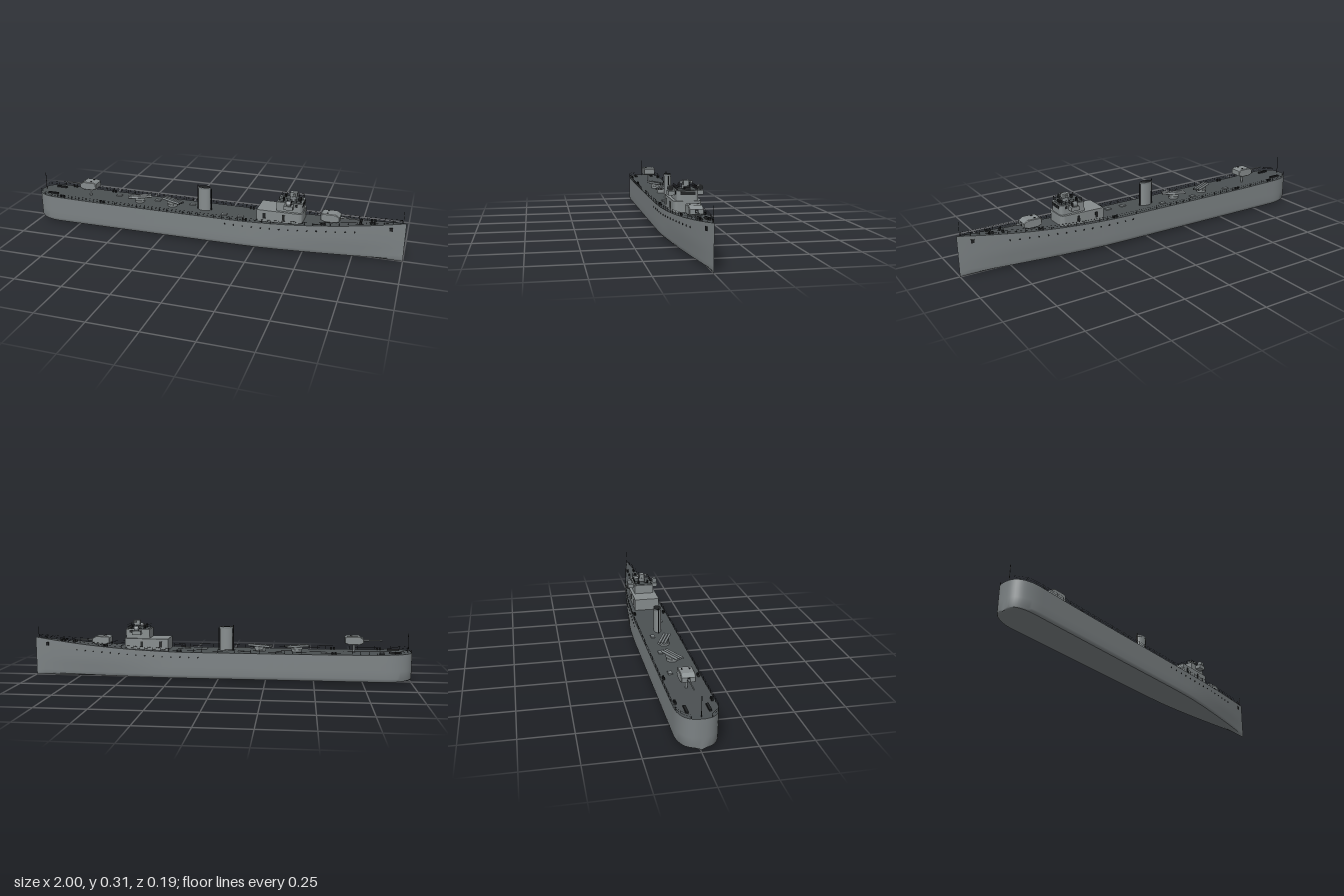
import * as THREE from 'three';
import { toCreasedNormals } from 'three/addons/utils/BufferGeometryUtils.js';

const paint = (name, color, side = THREE.FrontSide) => {
  const m = new THREE.MeshStandardMaterial({ color, side });
  m.name = name;
  return m;
};
const mats = {
  hull: paint('hull grey', 0x7c8284),
  deck: paint('deck grey', 0x4b5052),
  upper: paint('superstructure grey', 0x868c8d),
  dark: paint('dark fittings', 0x1e2021),
};

// Hull lines: deck height and half breadth along the length
const deckY = x => 0.15 + 0.055 * Math.max(0, (x - 0.1) / 0.9) ** 2 + 0.008 * Math.max(0, (-x - 0.5) / 0.5) ** 2;
function halfBeam(x) {
  if (x < -0.86) return 0.095 * Math.max(0, 1 - ((-0.86 - x) / 0.14) ** 2.5) ** 0.4;
  if (x > 0.1) return 0.095 * (1 - ((x - 0.1) / 0.9) ** 2.1);
  return 0.095;
}

export function createModel() {
  const root = new THREE.Group();
  root.name = 'warship';

  function add(parent, name, geo, mat, x = 0, y = 0, z = 0) {
    const m = new THREE.Mesh(geo, mats[mat]);
    m.name = name;
    m.position.set(x, y, z);
    parent.add(m);
    return m;
  }
  const box = (p, n, mat, w, h, d, x, y, z) => add(p, n, new THREE.BoxGeometry(w, h, d), mat, x, y, z);
  const cyl = (p, n, mat, r, h, x, y, z, seg = 12, r2 = r) =>
    add(p, n, new THREE.CylinderGeometry(r2, r, h, seg), mat, x, y, z);
  const rod = (p, n, mat, r, len, x, y, z, axis, seg = 10) => {
    const m = cyl(p, n, mat, r, len, x, y, z, seg);
    if (axis === 'x') m.rotation.z = -Math.PI / 2;
    else m.rotation.x = Math.PI / 2;
    return m;
  };

  // Hull and deck from cross-sections
  const stations = [];
  for (let i = 0; i <= 14; i++) stations.push(-0.86 - 0.14 * Math.cos((i / 14) * Math.PI / 2));
  for (let i = 1; i <= 36; i++) stations.push(-0.86 + (1.86 * i) / 36);
  const section = x => {
    const w = halfBeam(x), bow = Math.max(0, (x - 0.3) / 0.7);
    const stern = 0.012 * Math.max(0, (-x - 0.85) / 0.15) ** 2;
    const b = w * (1 - 0.25 * bow);
    const half = [[w, deckY(x)], [w, 0.115], [w * (1 - 0.08 * bow), 0.07], [b, 0.03],
      [b * 0.985, 0.018 + stern], [b * 0.93, 0.012 + stern], [b * 0.5, 0.006 + stern]];
    return [...half, [0, stern], ...half.map(([z, y]) => [-z, y]).reverse()];
  };
  const pos = [], idx = [], deckPos = [], deckIdx = [];
  const n = section(0).length;
  stations.forEach((x, i) => {
    section(x).forEach(([z, y]) => pos.push(x, y, z));
    deckPos.push(x, deckY(x), halfBeam(x), x, deckY(x), -halfBeam(x));
    if (i === stations.length - 1) return;
    for (let j = 0; j < n - 1; j++) {
      const a = i * n + j, c = a + n;
      idx.push(a, a + 1, c, a + 1, c + 1, c);
    }
    const p = i * 2;
    deckIdx.push(p + 1, p, p + 3, p, p + 2, p + 3);
  });
  const surface = (p, f) => {
    const g = new THREE.BufferGeometry();
    g.setAttribute('position', new THREE.Float32BufferAttribute(p, 3));
    g.setIndex(f);
    g.computeVertexNormals();
    return toCreasedNormals(g, 0.7);
  };
  add(root, 'hull', surface(pos, idx), 'hull');
  add(root, 'deck', surface(deckPos, deckIdx), 'deck');

  // Railings, portholes, hawse holes and bollards on both sides
  for (const s of [1, -1]) {
    const rail = new THREE.Group();
    rail.name = s > 0 ? 'rightRailing' : 'leftRailing';
    root.add(rail);
    const edge = (x, h) => new THREE.Vector3(x, deckY(x) + h, s * Math.max(0, halfBeam(x) - 0.002));
    for (const h of [0.009, 0.018]) {
      const pts = [];
      for (let i = 0; i <= 40; i++) pts.push(edge(-0.99 + 1.97 * i / 40, h));
      add(rail, 'railWire', new THREE.TubeGeometry(new THREE.CatmullRomCurve3(pts), 100, 0.0005, 4), 'dark');
    }
    for (let i = 0; i <= 46; i++) {
      const e = edge(-0.99 + 1.97 * i / 46, 0.009);
      cyl(rail, 'stanchion', 'dark', 0.0008, 0.018, e.x, e.y, e.z, 5);
    }
    for (let i = 0; i < 15; i++) {
      const x = 0.1 + 0.047 * i;
      rod(root, 'porthole', 'dark', 0.0042, 0.004, x, 0.124 + 0.05 * Math.max(0, x - 0.3) ** 1.1, s * halfBeam(x), 'z');
    }
    const hawse = box(root, 'anchorHole', 'dark', 0.016, 0.018, 0.006, 0.93, 0.17, s * halfBeam(0.93));
    hawse.rotation.y = s * 0.2;
    for (const x of [-0.84, -0.6, 0.2, 0.6, 0.84]) for (const d of [-0.008, 0.008])
      cyl(root, 'bollard', 'dark', 0.005, 0.012, x + d, deckY(x) + 0.006, s * (halfBeam(x) - 0.014));
    box(root, 'sternRack', 'dark', 0.06, 0.008, 0.012, -0.91, 0.16, s * 0.05);
  }

  // Gun: sloped house on a low ring with one barrel, facing +x
  function gun(name, x, y, turn) {
    const g = new THREE.Group();
    g.name = name;
    g.position.set(x, y, 0);
    g.rotation.y = turn;
    root.add(g);
    const prof = [[-0.045, 0.012], [-0.045, 0.036], [-0.036, 0.042], [0.026, 0.042], [0.045, 0.03], [0.045, 0.012], [0.025, 0.004], [-0.025, 0.004]];
    const geo = new THREE.ExtrudeGeometry(new THREE.Shape(prof.map(p => new THREE.Vector2(...p))),
      { depth: 0.06, bevelEnabled: true, bevelSize: 0.003, bevelThickness: 0.003, bevelSegments: 1 });
    add(g, 'gunHouse', geo, 'upper', 0, 0, -0.03);
    cyl(g, 'gunRing', 'upper', 0.026, 0.006, 0, 0.003, 0, 24);
    rod(g, 'barrelSleeve', 'hull', 0.005, 0.03, 0.06, 0.022, 0, 'x');
    rod(g, 'barrel', 'hull', 0.003, 0.1, 0.095, 0.022, 0, 'x');
    box(g, 'gunPort', 'dark', 0.004, 0.018, 0.014, 0.047, 0.023, 0);
    for (const s of [1, -1]) box(g, 'roofHatch', 'dark', 0.008, 0.003, 0.006, -0.015, 0.046, s * 0.018);
  }
  gun('forwardGun', 0.63, 0.174, 0);
  gun('aftGun', -0.705, 0.192, Math.PI);
  cyl(root, 'forwardGunBase', 'hull', 0.026, 0.012, 0.63, 0.17, 0, 24);
  cyl(root, 'aftGunPivot', 'hull', 0.006, 0.044, -0.705, 0.172, 0);

  // Torpedo mounts: three slanted tubes on a turntable
  for (const [x, turn] of [[-0.41, 0.46], [-0.22, -0.42]]) {
    const g = new THREE.Group();
    g.name = 'torpedoMount';
    g.position.set(x, 0.15, 0);
    g.rotation.y = turn;
    root.add(g);
    cyl(g, 'turntable', 'upper', 0.026, 0.012, 0, 0.006, 0, 24);
    box(g, 'cradle', 'upper', 0.05, 0.012, 0.04, 0, 0.018, 0);
    for (const z of [-0.014, 0, 0.014]) {
      rod(g, 'tube', 'hull', 0.006, 0.125, 0, 0.029, z, 'x', 14);
      rod(g, 'tubeMouth', 'dark', 0.0045, 0.002, 0.0625, 0.029, z, 'x');
    }
  }

  // Oval funnel with cap, dark mouth and steam pipe
  const oval = (name, mat, r, h, y) => { cyl(root, name, mat, r, h, -0.04, y, 0, 32).scale.z = 0.55; };
  oval('funnel', 'upper', 0.033, 0.12, 0.21);
  oval('funnelCap', 'hull', 0.036, 0.01, 0.272);
  oval('funnelMouth', 'dark', 0.031, 0.002, 0.277);
  cyl(root, 'steamPipe', 'dark', 0.003, 0.135, -0.077, 0.2175, 0);
  cyl(root, 'steamPipe', 'dark', 0.003, 0.12, -0.002, 0.21, 0);

  // Deckhouse and bridge: plan outlines with rounded front corners
  function house(name, mat, x0, x1, hw, r, y0, y1) {
    const s = new THREE.Shape();
    s.moveTo(x0, -hw);
    s.lineTo(x1 - r, -hw);
    s.quadraticCurveTo(x1, -hw, x1, -hw + r);
    s.lineTo(x1, hw - r);
    s.quadraticCurveTo(x1, hw, x1 - r, hw);
    s.lineTo(x0, hw);
    const geo = new THREE.ExtrudeGeometry(s, { depth: y1 - y0, bevelEnabled: false, curveSegments: 8 });
    geo.rotateX(-Math.PI / 2);
    add(root, name, toCreasedNormals(geo, 0.6), mat, 0, y0, 0);
  }
  house('deckhouse', 'upper', 0.26, 0.495, 0.067, 0.025, 0.148, 0.214);
  house('bridge', 'upper', 0.36, 0.49, 0.052, 0.02, 0.214, 0.262);
  house('bridgeRoof', 'deck', 0.368, 0.483, 0.045, 0.018, 0.262, 0.264);
  for (let i = -2; i <= 2; i++) box(root, 'bridgeWindow', 'dark', 0.003, 0.016, 0.0125, 0.49, 0.25, i * 0.0142);
  for (const s of [1, -1]) {
    for (const x of [0.44, 0.46]) box(root, 'sideWindow', 'dark', 0.014, 0.014, 0.003, x, 0.25, s * 0.052);
    for (const x of [0.3, 0.4]) box(root, 'door', 'dark', 0.014, 0.03, 0.003, x, 0.185, s * 0.067);
    // Bridge wing with searchlight
    box(root, 'bridgeWing', 'upper', 0.045, 0.02, 0.034, 0.425, 0.246, s * 0.067);
    cyl(root, 'searchlightPost', 'dark', 0.004, 0.012, 0.425, 0.259, s * 0.072);
    rod(root, 'searchlight', 'hull', 0.0135, 0.022, 0.425, 0.268, s * 0.072, 'x', 20);
    rod(root, 'searchlightLens', 'dark', 0.0115, 0.002, 0.4365, 0.268, s * 0.072, 'x', 20);
    // Bridge roof railing
    for (const h of [0.273, 0.283]) rod(root, 'bridgeRail', 'dark', 0.0008, 0.11, 0.425, h, s * 0.046, 'x', 5);
    for (let i = 0; i <= 5; i++) cyl(root, 'bridgeStanchion', 'dark', 0.001, 0.021, 0.37 + 0.022 * i, 0.273, s * 0.046, 5);
  }
  for (const x of [0.37, 0.48]) for (const h of [0.273, 0.283]) rod(root, 'bridgeRail', 'dark', 0.0008, 0.092, x, h, 0, 'z', 5);

  // Fire director with rangefinder arms
  cyl(root, 'directorBase', 'hull', 0.018, 0.022, 0.435, 0.274, 0, 20);
  box(root, 'director', 'upper', 0.036, 0.022, 0.026, 0.437, 0.295, 0);
  rod(root, 'rangefinder', 'hull', 0.004, 0.05, 0.442, 0.297, 0, 'z');
  for (const s of [1, -1]) {
    box(root, 'rangefinderHead', 'upper', 0.012, 0.012, 0.01, 0.442, 0.297, s * 0.025);
    cyl(root, 'lookoutSight', 'dark', 0.005, 0.018, 0.39, 0.273, s * 0.025);
  }
  box(root, 'chartTable', 'dark', 0.014, 0.014, 0.03, 0.468, 0.27, 0);

  // Deck fittings and staffs
  for (const x of [0.08, 0.17, -0.12, -0.32, -0.55]) box(root, 'hatch', 'hull', 0.03, 0.006, 0.02, x, 0.153, x > 0 ? 0.04 : -0.04);
  for (const z of [-0.018, 0.018]) cyl(root, 'capstan', 'dark', 0.006, 0.012, 0.78, deckY(0.78) + 0.006, z);
  cyl(root, 'sternStaff', 'dark', 0.0015, 0.095, -0.98, 0.205, 0, 6);
  cyl(root, 'bowStaff', 'dark', 0.0008, 0.07, 0.985, 0.238, 0, 6);
  return root;
}
